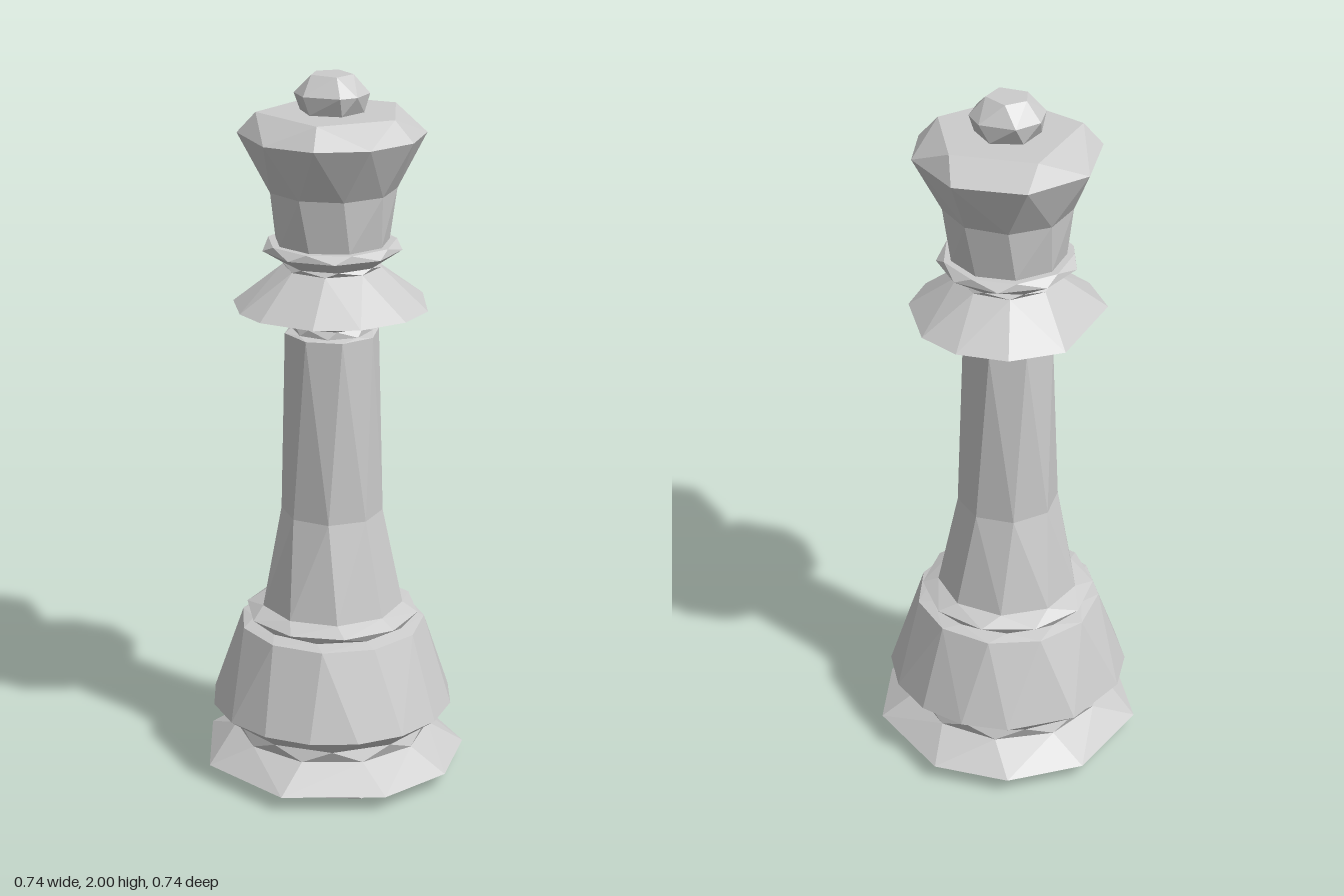
import * as THREE from 'three';

const material = new THREE.MeshStandardMaterial({ color: 0xcccccc, flatShading: true, side: THREE.DoubleSide });
const RAD = Math.PI / 180;

// Evenly spaced corner angles in degrees
const even = (n, offset = 0) => Array.from({ length: n }, (_, i) => offset + (i * 360) / n);

// One faceted cross-section: height, radius, corner angles (0 = +x, 90 = +z)
const ring = (y, r, angles) => ({ y, r, angles });

const corner = (s, a) => [s.r * Math.cos(a * RAD), s.y, s.r * Math.sin(a * RAD)];

// Angles of a ring starting at the corner nearest to "start", closed by a repeat of the first
function unroll(angles, start) {
  const near = angles.map((a) => a - 360 * Math.round((a - start) / 360));
  const first = near.reduce((b, a) => (Math.abs(a - start) < Math.abs(b - start) ? a : b));
  const list = near.map((a) => (a < first ? a + 360 : a)).sort((a, b) => a - b);
  return [...list, first + 360];
}

// Joins two rings, whose corner counts may differ, with triangles
function stitch(out, low, high) {
  const A = unroll(low.angles, low.angles[0]);
  const B = unroll(high.angles, A[0]);
  let i = 0, j = 0;
  while (i < A.length - 1 || j < B.length - 1) {
    const stepLow = j === B.length - 1 ||
      (i < A.length - 1 && Math.abs(A[i + 1] - B[j]) <= Math.abs(B[j + 1] - A[i]));
    out.push(...corner(low, A[i]), ...corner(high, B[j]));
    if (stepLow) out.push(...corner(low, A[++i]));
    else out.push(...corner(high, B[++j]));
  }
}

function cap(out, s, up) {
  const A = unroll(s.angles, s.angles[0]);
  for (let i = 0; i < A.length - 1; i++) {
    const [p, q] = up ? [A[i + 1], A[i]] : [A[i], A[i + 1]];
    out.push(0, s.y, 0, ...corner(s, p), ...corner(s, q));
  }
}

function loft(name, rings, { bottom = false, top = false } = {}) {
  const out = [];
  for (let i = 0; i < rings.length - 1; i++) stitch(out, rings[i], rings[i + 1]);
  if (bottom) cap(out, rings[0], false);
  if (top) cap(out, rings[rings.length - 1], true);
  const geometry = new THREE.BufferGeometry();
  geometry.setAttribute('position', new THREE.Float32BufferAttribute(out, 3));
  geometry.computeVertexNormals();
  const mesh = new THREE.Mesh(geometry, material);
  mesh.name = name;
  return mesh;
}

export function createModel() {
  // Uneven corner spacings give the hand-cut facets
  const flangeCorners = [10, 45, 79, 124, 169, 214, 258, 292.5, 326];
  const bodyCorners = [0, 22.5, 45, 67.5, 90, 112.5, 135, 157.5, 180, 202.5, 225, 259, 292.5, 315, 337.5];
  const skirtCorners = [30, 56, 86, 113, 147, 168, 198, 258.5, 292, 322.5, 349.5];
  const crownCorners = [11.5, 45, 79, 113, 147, 192, 237, 281, 327];

  // Rings shared by neighbouring parts
  const baseTop = ring(0.11, 0.275, even(10, 12));
  const bodyTop = ring(0.44, 0.262, even(11, 10));
  const collarTop = ring(0.495, 0.2, even(9, 18));
  const columnTop = ring(1.29, 0.132, even(8));
  const neckTop = ring(1.335, 0.122, even(8, 11));
  const skirtTop = ring(1.475, 0.135, even(8, 20));
  const crownFoot = ring(1.545, 0.158, even(9, 5));

  const model = new THREE.Group();
  model.name = 'chessPiece';
  model.add(
    loft('base', [
      ring(0, 0.28, even(9, 5)),
      ring(0.025, 0.28, even(10, 22)),
      ring(0.045, 0.378, flangeCorners),
      baseTop,
    ], { bottom: true }),

    loft('body', [
      baseTop,
      ring(0.145, 0.275, even(10, 30)),
      ring(0.2, 0.343, bodyCorners),
      bodyTop,
    ]),

    loft('lowerCollar', [
      bodyTop,
      ring(0.45, 0.222, even(10, 5)),
      ring(0.472, 0.245, even(10, 22)),
      collarTop,
    ]),

    // Column flares towards its foot
    loft('column', [
      collarTop,
      ring(0.77, 0.142, even(8, 16)),
      columnTop,
    ]),

    loft('neck', [
      columnTop,
      ring(1.295, 0.112, even(8, 18)),
      ring(1.315, 0.105, even(8, 5)),
      neckTop,
    ]),

    loft('skirt', [
      neckTop,
      ring(1.368, 0.272, skirtCorners),
      skirtTop,
    ]),

    loft('upperCollar', [
      skirtTop,
      ring(1.488, 0.135, even(8, 5)),
      ring(1.525, 0.192, even(9, 20)),
      ring(1.545, 0.178, even(9, 5)),
      crownFoot,
    ]),

    loft('crown', [
      crownFoot,
      ring(1.69, 0.176, even(9, 12)),
      ring(1.842, 0.255, crownCorners),
      ring(1.9, 0.204, [48, 113.5, 188, 270, 340]),
    ], { top: true }),

    // Small cut ball on the crown
    loft('finial', [
      ring(1.9, 0.088, even(6, 25)),
      ring(1.95, 0.102, [18, 61, 90, 151, 192, 236, 281, 340]),
      ring(2, 0.058, [20, 90, 175, 235, 300]),
    ], { top: true }),
  );
  return model;
}
